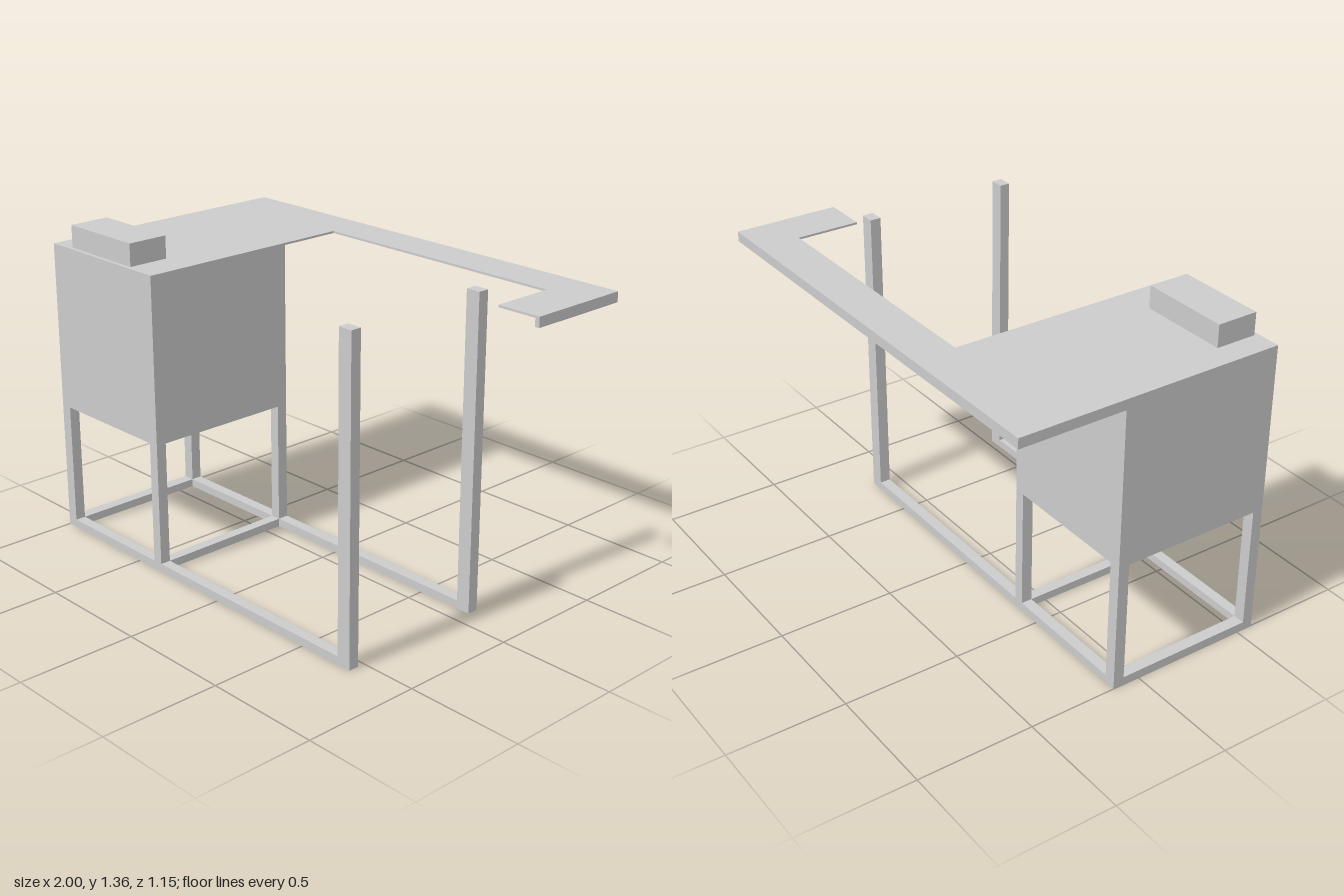
import * as THREE from 'three';

export function createModel() {
  const model = new THREE.Group();
  const material = new THREE.MeshStandardMaterial({ color: 0xcccccc, flatShading: true });

  // Box given by its [min, max] range on each axis
  function block(name, [x0, x1], [y0, y1], [z0, z1]) {
    const mesh = new THREE.Mesh(new THREE.BoxGeometry(x1 - x0, y1 - y0, z1 - z0), material);
    mesh.position.set((x0 + x1) / 2, (y0 + y1) / 2, (z0 + z1) / 2);
    mesh.name = name;
    model.add(mesh);
  }

  const floor = [0, 0.035];
  const legX = [[-1, -0.95], [-0.4, -0.355]];
  const sideZ = { front: [0.53, 0.575], back: [-0.12, -0.073] };

  // Long floor rails, cabinet legs and tall end posts, front and back
  for (const [side, z] of Object.entries(sideZ)) {
    block(side + 'FloorRail', [-0.95, 0.693], floor, z);
    block(side + 'EndPost', [0.693, 0.755], [0, 1.313], z);
    legX.forEach((x, i) => block(side + (i ? 'InnerLeg' : 'OuterLeg'), x, [0, 0.557], z));
  }

  // Cross rails joining the legs on the floor
  legX.forEach((x, i) => block(i ? 'innerCrossRail' : 'outerCrossRail', x, floor, [-0.073, 0.53]));

  // Cabinet with the low box on its top
  block('cabinet', [-1, -0.355], [0.557, 1.265], [-0.12, 0.575]);
  block('topBox', [-0.893, -0.505], [1.265, 1.36], [0.38, 0.557]);

  // Thin counter panels running round the back
  const panelY = [1.256, 1.265];
  block('cornerPanel', [-0.98, -0.355], panelY, [-0.555, -0.12]);
  block('backPanel', [-0.355, 0.805], panelY, [-0.555, -0.397]);
  block('endPanel', [0.805, 0.98], panelY, [-0.555, -0.122]);

  // Skirt along the outer edges of the counter
  const skirtY = [1.222, 1.265];
  block('backSkirt', [-1, 1], skirtY, [-0.575, -0.555]);
  block('rightSkirt', [-1, -0.98], skirtY, [-0.555, -0.12]);
  block('leftSkirt', [0.98, 1], skirtY, [-0.555, -0.122]);

  return model;
}
